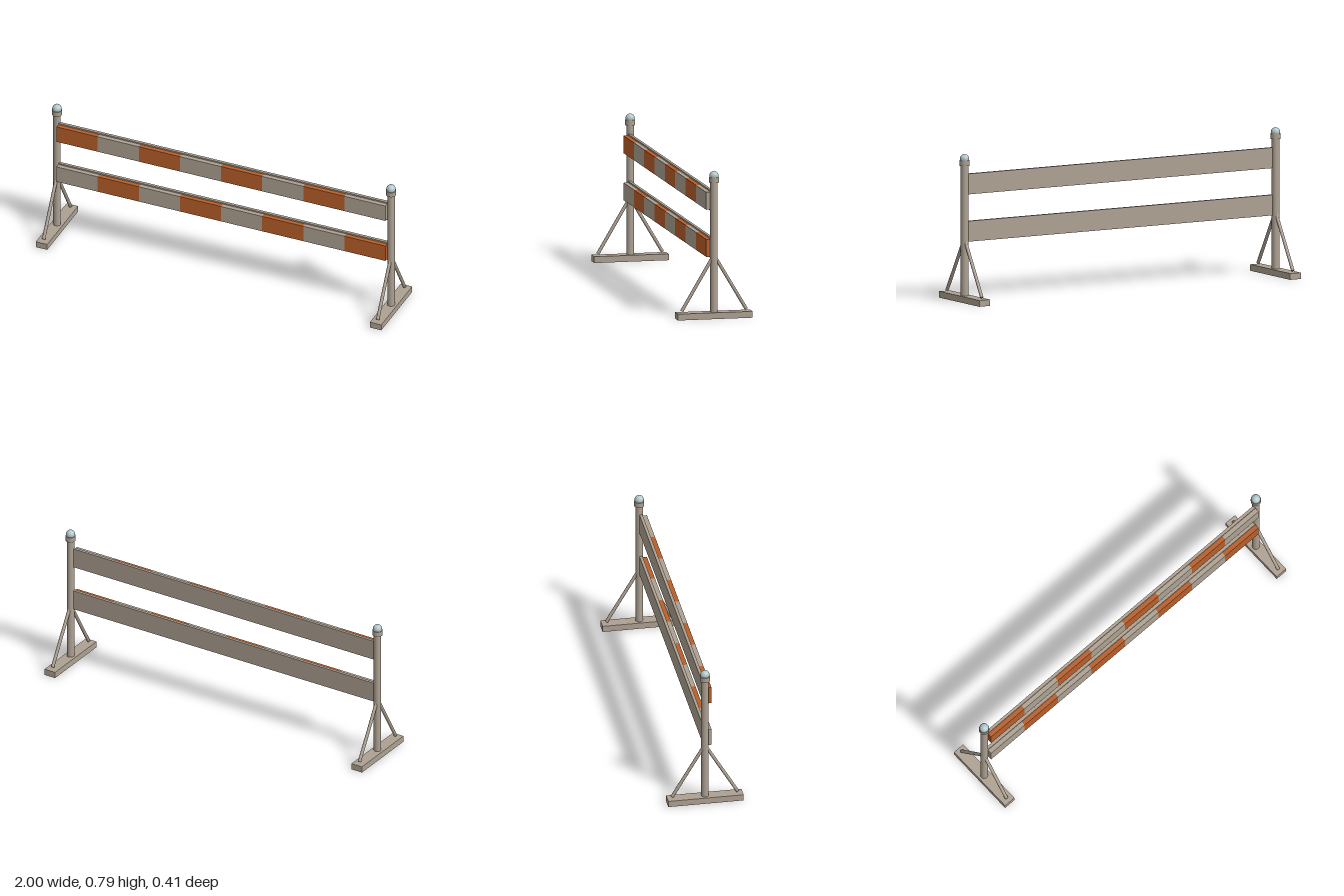
import * as THREE from 'three';

export function createModel() {
  const model = new THREE.Group();
  model.name = 'barrier';

  const material = (name, color) => {
    const m = new THREE.MeshStandardMaterial({ color });
    m.name = name;
    return m;
  };
  const beige = material('beige', 0xada192);
  const orange = material('orange', 0xb85e2a);
  const paleBlue = material('paleBlue', 0xb4c8cc);

  const add = (parent, name, geometry, mat, x, y, z) => {
    const mesh = new THREE.Mesh(geometry, mat);
    mesh.name = name;
    mesh.position.set(x, y, z);
    parent.add(mesh);
    return mesh;
  };

  // Rod between two points in the z-y plane
  const addRod = (parent, name, a, b, radius) => {
    const dir = b.clone().sub(a);
    const mid = a.clone().add(b).multiplyScalar(0.5);
    const rod = add(parent, name, new THREE.CylinderGeometry(radius, radius, dir.length(), 16), beige, mid.x, mid.y, mid.z);
    rod.quaternion.setFromUnitVectors(new THREE.Vector3(0, 1, 0), dir.normalize());
  };

  // End supports: foot, post, braces, collar and lamp
  for (const side of [-1, 1]) {
    const support = new THREE.Group();
    support.name = side > 0 ? 'leftSupport' : 'rightSupport';
    support.position.x = side * 0.967;
    model.add(support);

    add(support, 'foot', new THREE.BoxGeometry(0.066, 0.034, 0.406), beige, 0, 0.017, 0);
    add(support, 'post', new THREE.CylinderGeometry(0.02, 0.02, 0.71, 24), beige, 0, 0.385, 0);
    add(support, 'collar', new THREE.CylinderGeometry(0.027, 0.027, 0.028, 24), beige, 0, 0.743, 0);
    add(support, 'lamp', new THREE.SphereGeometry(0.025, 24, 16), paleBlue, 0, 0.765, 0);
    for (const s of [-1, 1]) {
      addRod(support, s > 0 ? 'frontBrace' : 'backBrace',
        new THREE.Vector3(0, 0.043, s * 0.176), new THREE.Vector3(0, 0.331, s * 0.005), 0.009);
    }
  }

  // Rails: backing board with eight alternating panels in front
  const count = 8, length = 1.904, panelWidth = length / count;
  const addRail = (name, y, firstOrange) => {
    const rail = new THREE.Group();
    rail.name = name;
    rail.position.y = y;
    model.add(rail);

    add(rail, 'board', new THREE.BoxGeometry(length, 0.11, 0.016), beige, 0, 0, 0.006);
    for (let i = 0; i < count; i++) {
      const isOrange = i % 2 === firstOrange;
      add(rail, isOrange ? 'orangePanel' : 'beigePanel', new THREE.BoxGeometry(panelWidth, 0.094, 0.025),
        isOrange ? orange : beige, -length / 2 + (i + 0.5) * panelWidth, 0, 0.0263);
    }
  };
  addRail('upperRail', 0.628, 0);
  addRail('lowerRail', 0.375, 1);

  return model;
}
